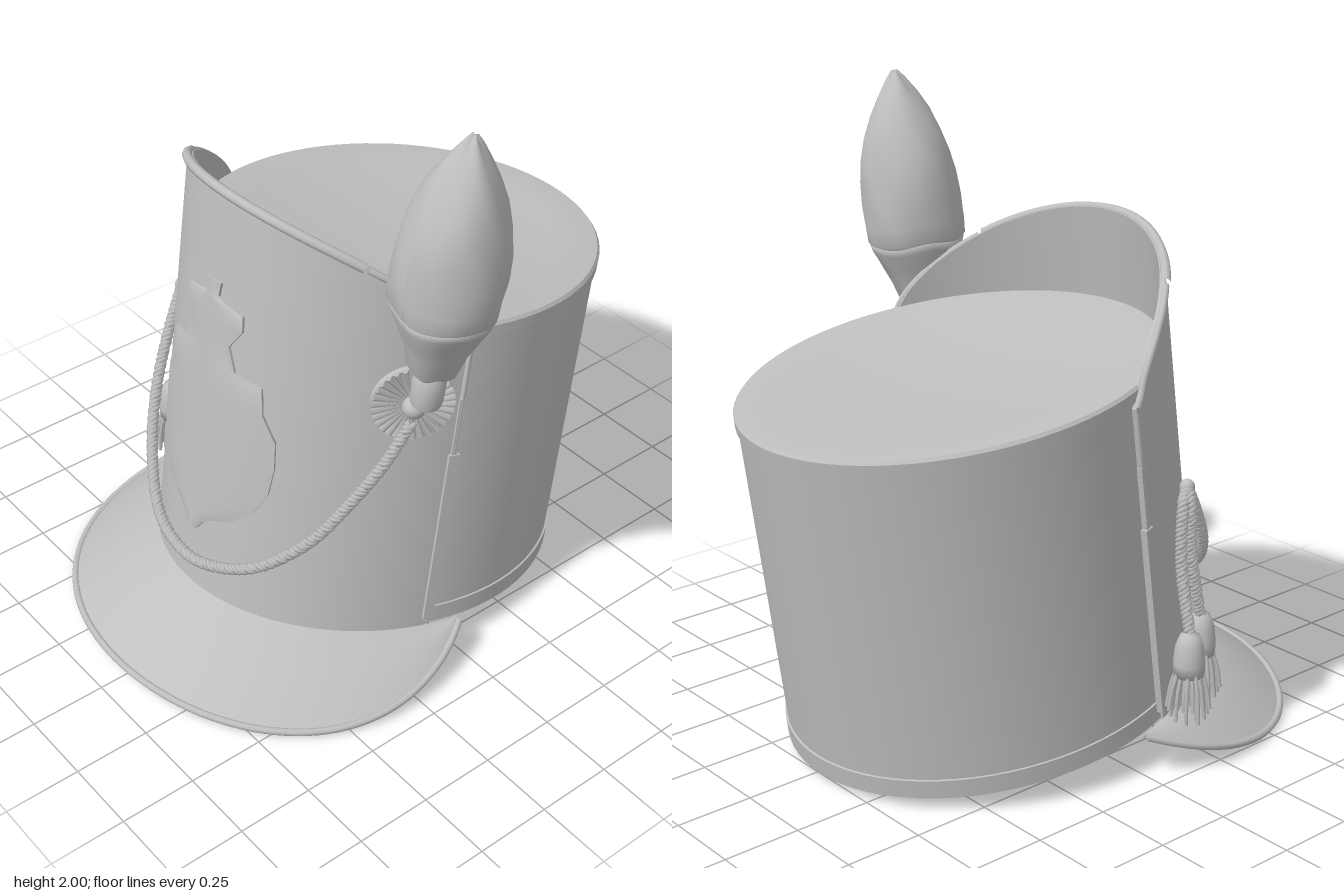
import * as THREE from 'three';
import { toCreasedNormals, mergeGeometries } from 'three/addons/utils/BufferGeometryUtils.js';

const V = (x, y, z) => new THREE.Vector3(x, y, z);
const grey = new THREE.MeshStandardMaterial({ color: 0xbfbfbf });
grey.name = 'plain grey';

// The hat body leans back about its base centre
const BASE = V(-0.045, 0.12, -0.08), LEAN = -0.14;
const RX = 0.612, RZ = 0.7;
const rad = THREE.MathUtils.degToRad;

// Point on the leaning body: a = angle from the front, v = height, off = distance outward
const onBody = (a, v, off = 0) =>
  V((RX + off) * Math.sin(a), v, (RZ + off) * Math.cos(a)).applyAxisAngle(V(1, 0, 0), LEAN).add(BASE);

// Solid through equal rings of points, capped at both ends
function loft(rings, crease = 0.6) {
  const n = rings[0].length, pos = rings.flat().flatMap(p => [p.x, p.y, p.z]), idx = [];
  for (let i = 0; i < rings.length - 1; i++)
    for (let j = 0; j < n; j++) {
      const a = i * n + j, b = i * n + (j + 1) % n;
      idx.push(a, b, a + n, b, b + n, a + n);
    }
  const last = (rings.length - 1) * n;
  // caps are strips between the two sides of the ring
  for (let j = 0; j < n / 2 - 1; j++) {
    const a = j, b = j + 1, c = n - 2 - j, d = n - 1 - j;
    idx.push(a, c, b, a, d, c, last + a, last + b, last + c, last + a, last + c, last + d);
  }
  // turn the faces outward
  const P = i => V(pos[3 * i], pos[3 * i + 1], pos[3 * i + 2]);
  let vol = 0;
  for (let i = 0; i < idx.length; i += 3) vol += P(idx[i]).dot(P(idx[i + 1]).cross(P(idx[i + 2])));
  if (vol < 0) idx.reverse();
  const g = new THREE.BufferGeometry();
  g.setAttribute('position', new THREE.Float32BufferAttribute(pos, 3));
  g.setIndex(idx);
  return toCreasedNormals(g, crease);
}

const tube = (pts, r, seg = 48, sides = 8) =>
  new THREE.TubeGeometry(new THREE.CatmullRomCurve3(pts), seg, r, sides);
const range = (n, f) => Array.from({ length: n + 1 }, (_, i) => f(i / n));
const lathe = (pts, seg) => new THREE.LatheGeometry(pts.map(p => new THREE.Vector2(...p)), seg);

// Twisted cord: strands wound around a curve
function cord(pts, turns, strands = 3) {
  const curve = new THREE.CatmullRomCurve3(pts), n = turns * 10;
  const fr = curve.computeFrenetFrames(n), mid = curve.getSpacedPoints(n);
  const parts = [];
  for (let s = 0; s < strands; s++) {
    const path = mid.map((p, i) => {
      const t = (i / n * turns + s / strands) * Math.PI * 2;
      return p.clone().addScaledVector(fr.normals[i], 0.01 * Math.cos(t))
        .addScaledVector(fr.binormals[i], 0.01 * Math.sin(t));
    });
    parts.push(tube(path, 0.01, n, 5));
  }
  return mergeGeometries(parts);
}

export function createModel() {
  const model = new THREE.Group();
  model.name = 'plumedHat';
  const add = (name, geo, parent = model) => {
    const m = new THREE.Mesh(geo, grey);
    m.name = name;
    parent.add(m);
    return m;
  };

  // Crown: hollow oval drum with a band at top and bottom
  const drum = lathe([[0, 1.06], [0.585, 1.06], [0.585, 0], [0.607, 0], [0.607, 0.06], [0.601, 0.061],
    [0.601, 1.06], [0.608, 1.061], [0.608, 1.095], [0.6, 1.105], [0.5, 1.105], [0.48, 1.1], [0, 1.1]], 80);
  drum.scale(1, 1, 1.135);
  const crown = add('crown', toCreasedNormals(drum, 0.5));
  crown.position.copy(BASE);
  crown.rotation.x = LEAN;
  crown.translateZ(-0.01);

  // Tall front plate with a sloping top edge
  const edge = rad(74);
  const plateTop = a => {
    const w = RZ * Math.cos(a);
    return w > 0.235 ? 1.1 + 0.314 * Math.pow((w - 0.235) / 0.478, 0.7) : 1.1 - 1.3 * (0.235 - w);
  };
  add('frontPlate', loft(range(72, t => {
    const a = edge * (2 * t - 1), h = plateTop(a);
    return [onBody(a, 0), onBody(a, h), onBody(a, h, -0.018), onBody(a, 0, -0.018)];
  })));

  // Beading on the plate
  const bead = (name, a0, a1, r) => add(name, tube(range(24, t => {
    const a = rad(a0 + (a1 - a0) * t);
    return onBody(a, plateTop(a) - 0.005, 0);
  }), r));
  bead('topBead', -44, 44, 0.016);
  for (const s of [-1, 1]) {
    bead('sideBead', 45 * s, 73.5 * s, 0.011);
    add('edgeBead', tube([onBody(s * edge, 0.02), onBody(s * edge, 0.5), onBody(s * edge, 1.04)], 0.009, 8));
    const strap = (a0, a1, v0, v1, d) => add('sideStrap', loft([v0, v1].map(v =>
      [onBody(s * rad(a0), v, -0.01), onBody(s * rad(a0), v, d), onBody(s * rad(a1), v, d), onBody(s * rad(a1), v, -0.01)])));
    strap(72.5, 75.5, 0.03, 0.66, 0.012);
    strap(73.2, 74.8, 0.66, 0.86, 0.008);
  }

  // Visor sweeping out and down from the base of the plate
  const brim = t => {
    const a = rad(119) * (2 * t - 1), z = 0.3 + 0.61 * Math.cos(a);
    const y = z < 0.6 ? 0.014 + 0.12 * ((0.6 - z) / 0.6) ** 2 : 0.014 + 0.028 * ((z - 0.6) / 0.32) ** 2;
    return V(-0.045 + 0.72 * Math.sin(a), y, z);
  };
  add('visor', loft(range(72, t => {
    const a = rad(83) * (2 * t - 1), inn = onBody(a, 0.002, 0.002), out = brim(t);
    const top = range(6, k => inn.clone().lerp(out, k).add(V(0, 0.012 * Math.sin(Math.PI * k), 0)));
    return [...top, ...top.map(p => p.clone().add(V(0, -0.012, 0))).reverse()];
  })));
  add('visorRim', tube(range(48, brim), 0.012, 96));

  // Raised badge hugging the plate: [height, half width]
  const badge = [[0.43, 0.02], [0.47, 0.05], [0.5, 0.09], [0.53, 0.16], [0.6, 0.23], [0.68, 0.265],
    [0.78, 0.275], [0.87, 0.27], [0.95, 0.225], [1.04, 0.215], [1.055, 0.12], [1.13, 0.09],
    [1.2, 0.135], [1.25, 0.13], [1.265, 0.05], [1.275, 0.03], [1.32, 0.036]];
  add('badge', loft(badge.map(([y, hw]) => {
    const v = (y - 0.217) / 0.99;
    const row = f => range(12, k => onBody(Math.asin(hw * (2 * k - 1) / RX), v, f(k)));
    return [...row(k => 0.009 + 0.008 * Math.sin(Math.PI * k)), ...row(() => -0.005).reverse()];
  }), 0.8));

  // Pleated rosette with a button
  const rosette = new THREE.Group();
  rosette.name = 'rosette';
  rosette.position.set(0.505, 1.04, 0.155);
  rosette.lookAt(rosette.position.clone().add(V(0.86, 0, 0.5)));
  model.add(rosette);
  const disc = new THREE.CylinderGeometry(0.128, 0.128, 0.02, 64, 1).rotateX(Math.PI / 2);
  add('rosetteDisc', toCreasedNormals(disc, 0.5), rosette);
  for (let i = 0; i < 30; i++) {
    const pleat = add('pleat', new THREE.ConeGeometry(0.012, 0.1, 4).rotateZ(Math.PI).translate(0, 0.076, 0.01), rosette);
    pleat.rotation.z = i * Math.PI / 15;
  }
  add('rosetteButton', new THREE.SphereGeometry(0.036, 20, 14).translate(0, 0, 0.025), rosette);

  // Plume rising from a socket, leaning outward
  const plume = new THREE.Group();
  plume.name = 'plume';
  plume.position.set(0.57, 1.08, 0.162);
  plume.quaternion.setFromUnitVectors(V(0, 1, 0), V(0.095, 0.92, -0.062).normalize());
  model.add(plume);
  add('plumeSocket', toCreasedNormals(lathe([[0, 0], [0.045, 0], [0.05, 0.02], [0.05, 0.11], [0.042, 0.125], [0, 0.125]], 24), 0.6), plume);
  const feather = (name, pts) => {
    const g = lathe(pts, 40), p = g.attributes.position;
    for (let i = 0; i < p.count; i++) {
      const a = Math.atan2(p.getZ(i), p.getX(i)), y = p.getY(i);
      const k = 1 + 0.018 * Math.sin(3 * a + y * 17) + 0.012 * Math.sin(7 * a - y * 23);
      p.setXYZ(i, p.getX(i) * k, y + 0.006 * Math.sin(4 * a), p.getZ(i) * k);
    }
    g.computeVertexNormals();
    add(name, g, plume);
  };
  feather('plumeLower', [[0, 0.11], [0.05, 0.115], [0.075, 0.14], [0.098, 0.22], [0.125, 0.28], [0.15, 0.335], [0.156, 0.358], [0.14, 0.372], [0, 0.375]]);
  feather('plumeUpper', [[0, 0.345], [0.145, 0.35], [0.161, 0.368], [0.164, 0.42], [0.166, 0.49], [0.16, 0.57],
    [0.148, 0.64], [0.128, 0.71], [0.1, 0.78], [0.067, 0.84], [0.034, 0.89], [0.012, 0.918], [0, 0.925]]);

  // Festoon cord from the rosette across the front, then down to the tassels
  add('festoonCord', cord([V(0.53, 0.99, 0.18), V(0.505, 0.86, 0.26), V(0.465, 0.74, 0.345), V(0.38, 0.57, 0.45), V(0.25, 0.44, 0.56),
    V(0.1, 0.375, 0.62), V(-0.03, 0.352, 0.635), V(-0.2, 0.385, 0.61), V(-0.38, 0.5, 0.51), V(-0.5, 0.63, 0.4),
    V(-0.575, 0.77, 0.29), V(-0.62, 0.885, 0.2)], 44));
  const knot = V(-0.62, 0.885, 0.2);
  add('tasselCord', cord([knot, V(-0.648, 0.85, 0.185), V(-0.655, 0.68, 0.19), V(-0.658, 0.46, 0.235)], 11));
  add('tasselCord', cord([knot, V(-0.645, 0.84, 0.16), V(-0.665, 0.65, 0.14), V(-0.718, 0.45, 0.13)], 11));
  add('cordKnot', new THREE.SphereGeometry(0.024, 14, 10).translate(...knot));

  // Tassels: rounded head and a ring of fringe strands
  for (const [x, y, z] of [[-0.655, 0.485, 0.24], [-0.718, 0.47, 0.13]]) {
    const tassel = new THREE.Group();
    tassel.name = 'tassel';
    tassel.position.set(x, y, z);
    model.add(tassel);
    add('tasselHead', lathe([[0, -0.16], [0.047, -0.15], [0.05, -0.11], [0.044, -0.055], [0.03, -0.018], [0, 0]], 20), tassel);
    for (let i = 0; i < 26; i++) {
      const a = i * 2.4, r = 0.03 + 0.04 * Math.sqrt((i + 0.5) / 26), end = -0.27 - 0.018 * Math.sin(i * 5.1);
      const at = (q, h) => V(q * Math.cos(a), h, q * Math.sin(a));
      add('fringe', tube([at(r * 0.55, -0.125), at(r * 0.85, -0.19), at(r, end)], 0.0065, 5, 5), tassel);
    }
  }
  return model;
}
